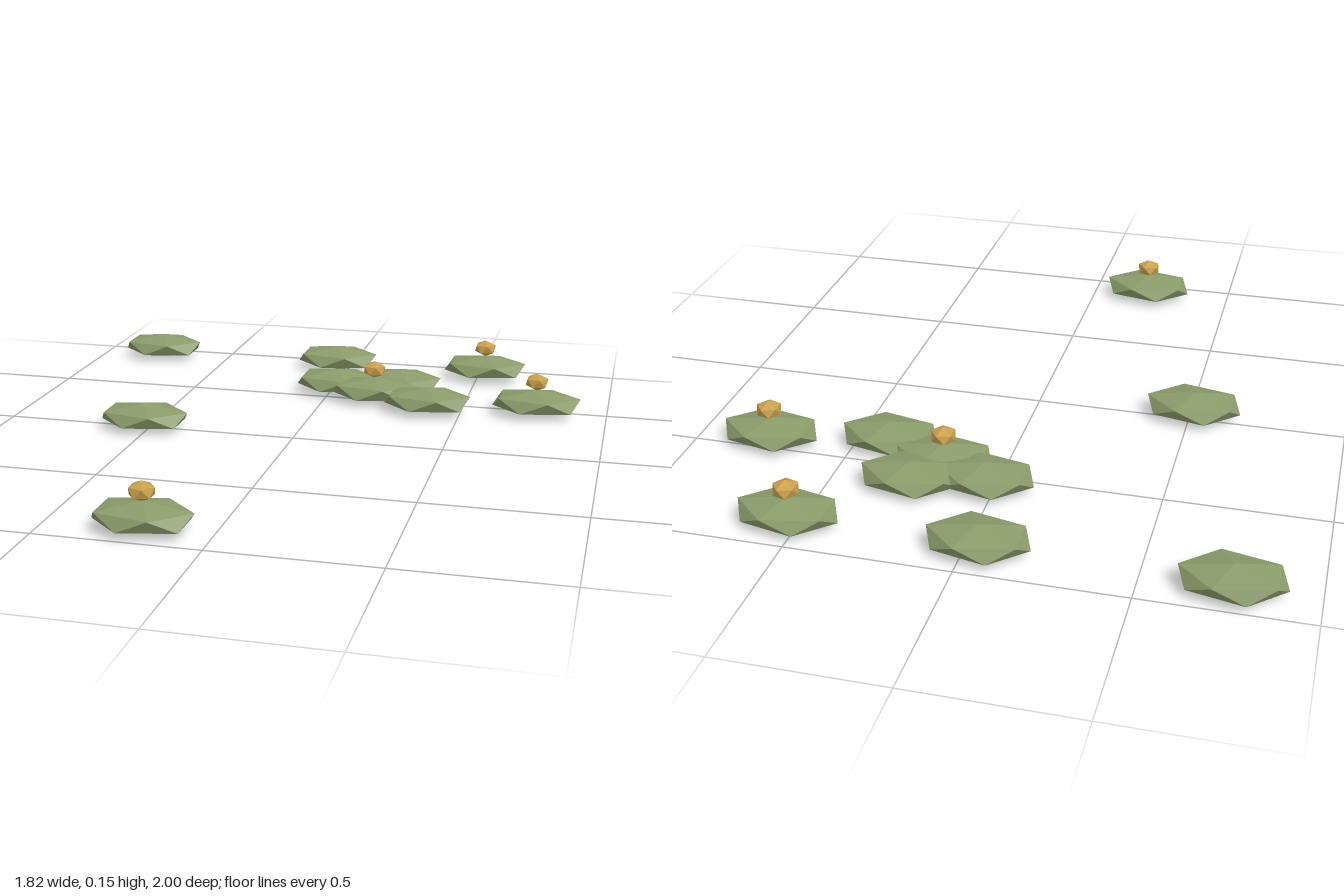
import * as THREE from 'three';

// [x, z, has a flower] for each lily pad
const PADS = [
  [-0.758, -0.903, false],
  [-0.042, -0.887, false],
  [0.528, -0.884, true],
  [0.03, -0.565, false],
  [0.248, -0.613, false],
  [0.18, -0.487, true],
  [0.384, -0.40, false],
  [0.758, -0.463, true],
  [-0.512, 0.018, false],
  [-0.203, 0.903, true],
];

// Icosahedron standing on a corner, with an upper-ring corner at +x, then squashed
function pebble(rx, ry, rz) {
  const geometry = new THREE.IcosahedronGeometry(1, 0);
  geometry.rotateZ(-Math.atan(2 / (1 + Math.sqrt(5))));
  geometry.scale(rx, ry, rz);
  geometry.computeVertexNormals();
  return geometry;
}

export function createModel() {
  const model = new THREE.Group();
  model.name = 'lilyPads';

  const leafGreen = new THREE.MeshStandardMaterial({ color: 0x8a9b6a, flatShading: true });
  leafGreen.name = 'leafGreen';
  const blossomGold = new THREE.MeshStandardMaterial({ color: 0xc89f4c, flatShading: true });
  blossomGold.name = 'blossomGold';

  const padGeometry = pebble(0.17, 0.045, 0.114);
  const flowerGeometry = pebble(0.043, 0.03, 0.043);

  PADS.forEach(([x, z, hasFlower], i) => {
    const plant = new THREE.Group();
    plant.name = `lily${i + 1}`;
    plant.position.set(x, 0, z);

    // Floating leaf
    const pad = new THREE.Mesh(padGeometry, leafGreen);
    pad.name = 'pad';
    pad.position.y = 0.045;
    plant.add(pad);

    // Blossom resting on the leaf's peak
    if (hasFlower) {
      const flower = new THREE.Mesh(flowerGeometry, blossomGold);
      flower.name = 'flower';
      flower.position.y = 0.118;
      plant.add(flower);
    }
    model.add(plant);
  });

  return model;
}
